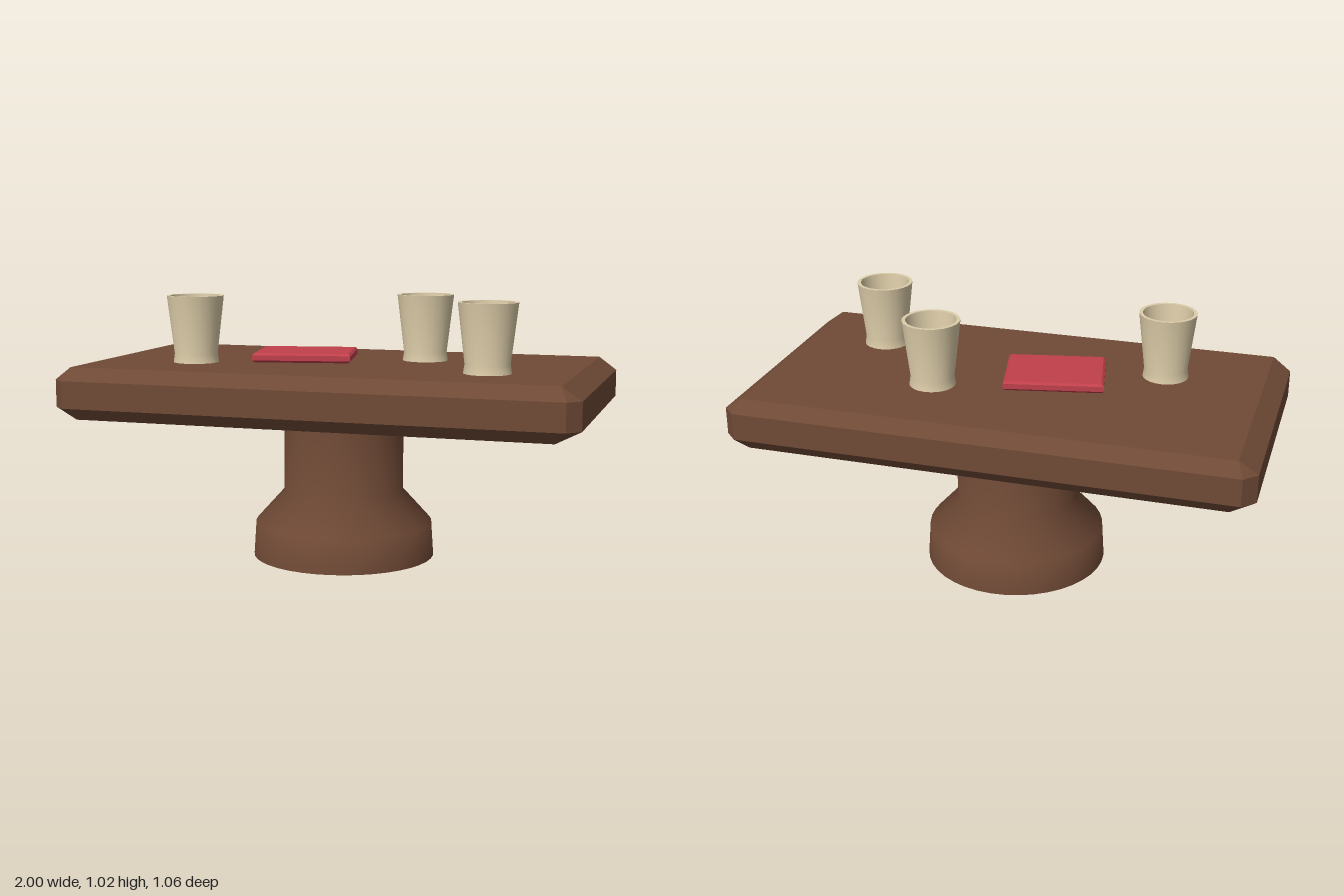
import * as THREE from 'three';
import { toCreasedNormals } from 'three/addons/utils/BufferGeometryUtils.js';
import { ConvexGeometry } from 'three/addons/geometries/ConvexGeometry.js';

const material = (name, color, side = THREE.FrontSide) => {
  const m = new THREE.MeshStandardMaterial({ color, side });
  m.name = name;
  return m;
};

const addMesh = (parent, name, geometry, mat) => {
  const mesh = new THREE.Mesh(geometry, mat);
  mesh.name = name;
  parent.add(mesh);
  return mesh;
};

// Chamfered slab from stacked rings: [y, half width, half depth, corner cut]
function chamferedSlab(rings) {
  const points = [];
  for (const [y, w, d, cut] of rings)
    for (const sx of [-1, 1])
      for (const sz of [-1, 1]) {
        points.push(new THREE.Vector3(sx * (w - cut), y, sz * d));
        if (cut > 0) points.push(new THREE.Vector3(sx * w, y, sz * (d - cut)));
      }
  return new ConvexGeometry(points);
}

const profile = (pairs) => pairs.map(([r, y]) => new THREE.Vector2(r, y));

export function createModel() {
  const group = new THREE.Group();
  group.name = 'tableWithCups';
  const wood = material('brown wood', 0x704a36, THREE.DoubleSide);
  const clay = material('cream clay', 0xdccca8);
  const red = material('red cover', 0xc0404c);

  // Table top with bevelled edges and corners
  addMesh(group, 'tableTop', chamferedSlab([
    [0.565, 0.91, 0.49, 0],
    [0.61, 1, 0.528, 0.048],
    [0.715, 1, 0.528, 0.048],
    [0.765, 0.93, 0.49, 0],
  ]), wood);

  // Hollow pedestal, open underneath
  addMesh(group, 'pedestal', new THREE.LatheGeometry(profile([
    [0.357, 0], [0.348, 0.135], [0.235, 0.26], [0.235, 0.57],
  ]), 40), wood);

  // Book lying askew
  const book = addMesh(group, 'book', chamferedSlab([
    [0.773, 0.181, 0.137, 0],
    [0.781, 0.19, 0.145, 0],
    [0.801, 0.19, 0.145, 0],
    [0.809, 0.181, 0.137, 0],
  ]), red);
  book.position.set(-0.15, 0, 0.02);
  book.rotation.y = 0.2;

  // Three filled cups
  const cupGeometry = toCreasedNormals(new THREE.LatheGeometry(profile([
    [0, 0.766], [0.089, 0.766], [0.084, 0.8], [0.111, 1.025],
    [0.097, 1.025], [0.074, 0.8], [0, 0.79],
  ]), 24), 0.7);
  const drinkGeometry = new THREE.CircleGeometry(0.092, 24).rotateX(-Math.PI / 2);
  for (const [x, z] of [[-0.55, 0.175], [0.29, -0.15], [0.615, 0.21]]) {
    const cup = new THREE.Group();
    cup.name = 'cup';
    cup.position.set(x, 0, z);
    addMesh(cup, 'cupBody', cupGeometry, clay);
    addMesh(cup, 'drink', drinkGeometry, wood).position.y = 0.955;
    group.add(cup);
  }
  return group;
}
